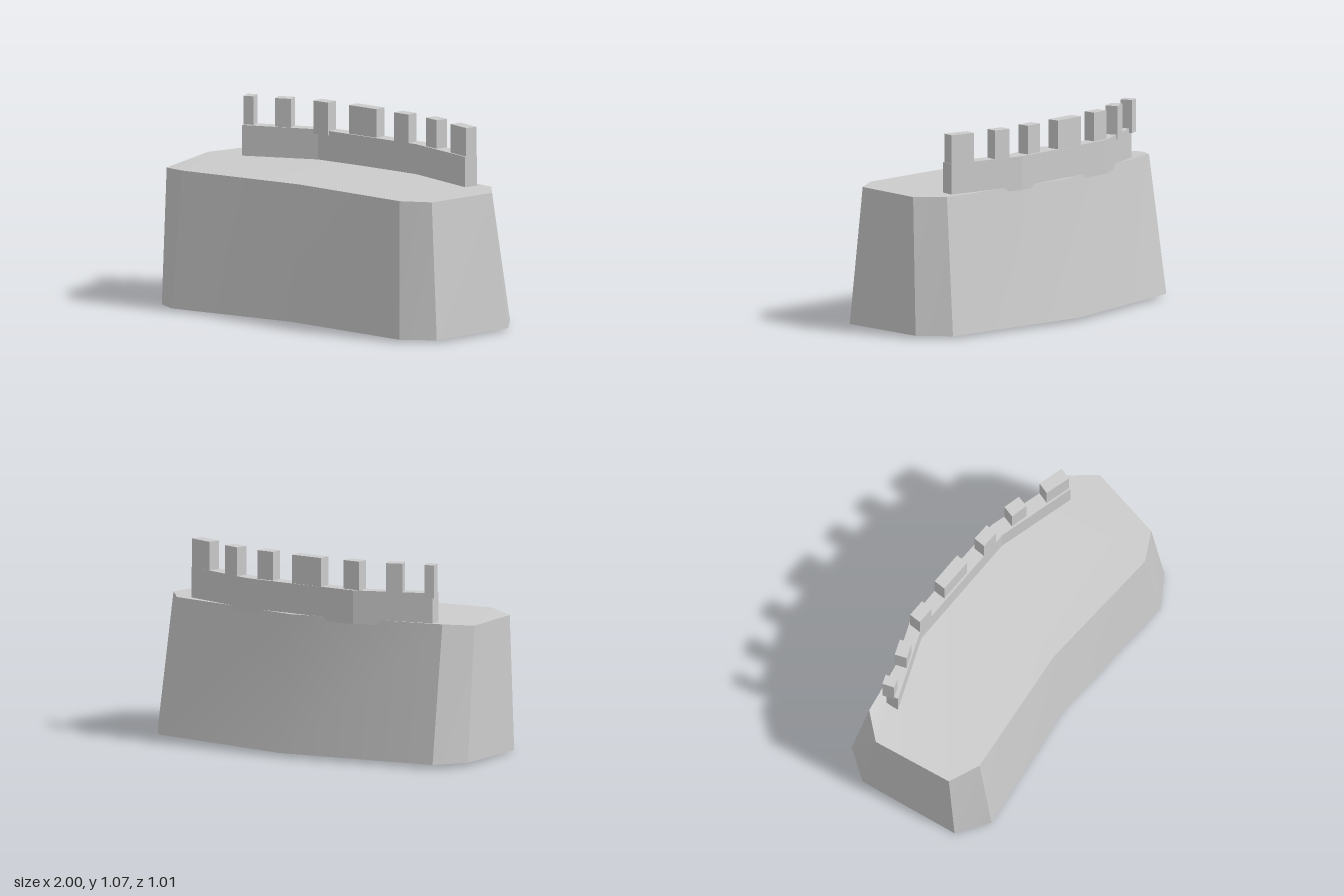
import * as THREE from 'three';
import { toCreasedNormals } from 'three/addons/utils/BufferGeometryUtils.js';

// Plinth rings, counter-clockwise from above, starting at the back centre: [x, y, z]
const FOOT = [
  [0, 0.02, -0.51], [-0.89, 0.02, -0.34], [-1, 0.02, -0.17], [-0.9, 0, 0.39], [-0.73, 0.015, 0.505],
  [0, 0.015, 0.385], [0.78, 0.015, 0.405], [0.945, 0.015, 0.29], [1, 0.015, -0.23], [0.88, 0.015, -0.39],
];
const RIM = [
  [0, 0.757, -0.405], [-0.875, 0.765, -0.23], [-0.985, 0.75, -0.09], [-0.9, 0.738, 0.35], [-0.73, 0.752, 0.42],
  [0, 0.752, 0.32], [0.725, 0.752, 0.34], [0.88, 0.752, 0.255], [0.945, 0.752, -0.163], [0.825, 0.752, -0.298],
];

// Battlement wall footprint: back edge then front edge, [x, z]
const WALL_BACK = [[-0.78, -0.19], [-0.38, -0.36], [0, -0.375], [0.31, -0.378], [0.752, -0.265]];
const WALL_FRONT = [[0.735, -0.19], [0.3, -0.298], [-0.38, -0.285], [-0.77, -0.118]];

// Merlons: [x, z, width, turn]
const MERLONS = [
  [-0.763, -0.18, 0.055, 0.37], [-0.577, -0.245, 0.09, 0.4], [-0.355, -0.31, 0.1, 0.02],
  [-0.08, -0.335, 0.19, 0.02], [0.197, -0.328, 0.1, 0], [0.427, -0.313, 0.097, -0.22], [0.672, -0.25, 0.145, -0.25],
];

// Tapered hollow body, open underneath
function plinthGeometry() {
  const n = FOOT.length;
  const index = [];
  for (let i = 0; i < n; i++) {
    const j = (i + 1) % n;
    index.push(i, j, n + j, i, n + j, n + i);
  }
  const outline = RIM.map(([x, , z]) => new THREE.Vector2(x, -z));
  for (const tri of THREE.ShapeUtils.triangulateShape(outline, [])) index.push(...tri.map((k) => n + k));
  const geometry = new THREE.BufferGeometry();
  geometry.setAttribute('position', new THREE.Float32BufferAttribute([...FOOT, ...RIM].flat(), 3));
  geometry.setIndex(index);
  return toCreasedNormals(geometry, 0.35);
}

// Bent wall with a constant height
function wallGeometry(bottom, top) {
  const shape = new THREE.Shape([...WALL_BACK, ...WALL_FRONT].map(([x, z]) => new THREE.Vector2(x, -z)));
  const geometry = new THREE.ExtrudeGeometry(shape, { depth: top - bottom, bevelEnabled: false });
  return geometry.rotateX(-Math.PI / 2).translate(0, bottom, 0);
}

export function createModel() {
  const model = new THREE.Group();
  model.name = 'battlement';
  const stone = new THREE.MeshStandardMaterial({ color: 0xcccccc });
  const shell = new THREE.MeshStandardMaterial({ color: 0xcccccc, side: THREE.DoubleSide });
  const add = (name, geometry, material = stone) => {
    const mesh = new THREE.Mesh(geometry, material);
    mesh.name = name;
    model.add(mesh);
    return mesh;
  };

  add('plinth', plinthGeometry(), shell);
  add('parapetWall', wallGeometry(0.735, 0.918));

  // Row of merlons standing on the wall
  MERLONS.forEach(([x, z, width, turn], i) => {
    const merlon = add(`merlon${i + 1}`, new THREE.BoxGeometry(width, 0.18, 0.067));
    merlon.position.set(x, 0.983, z);
    merlon.rotation.y = turn;
  });
  return model;
}
